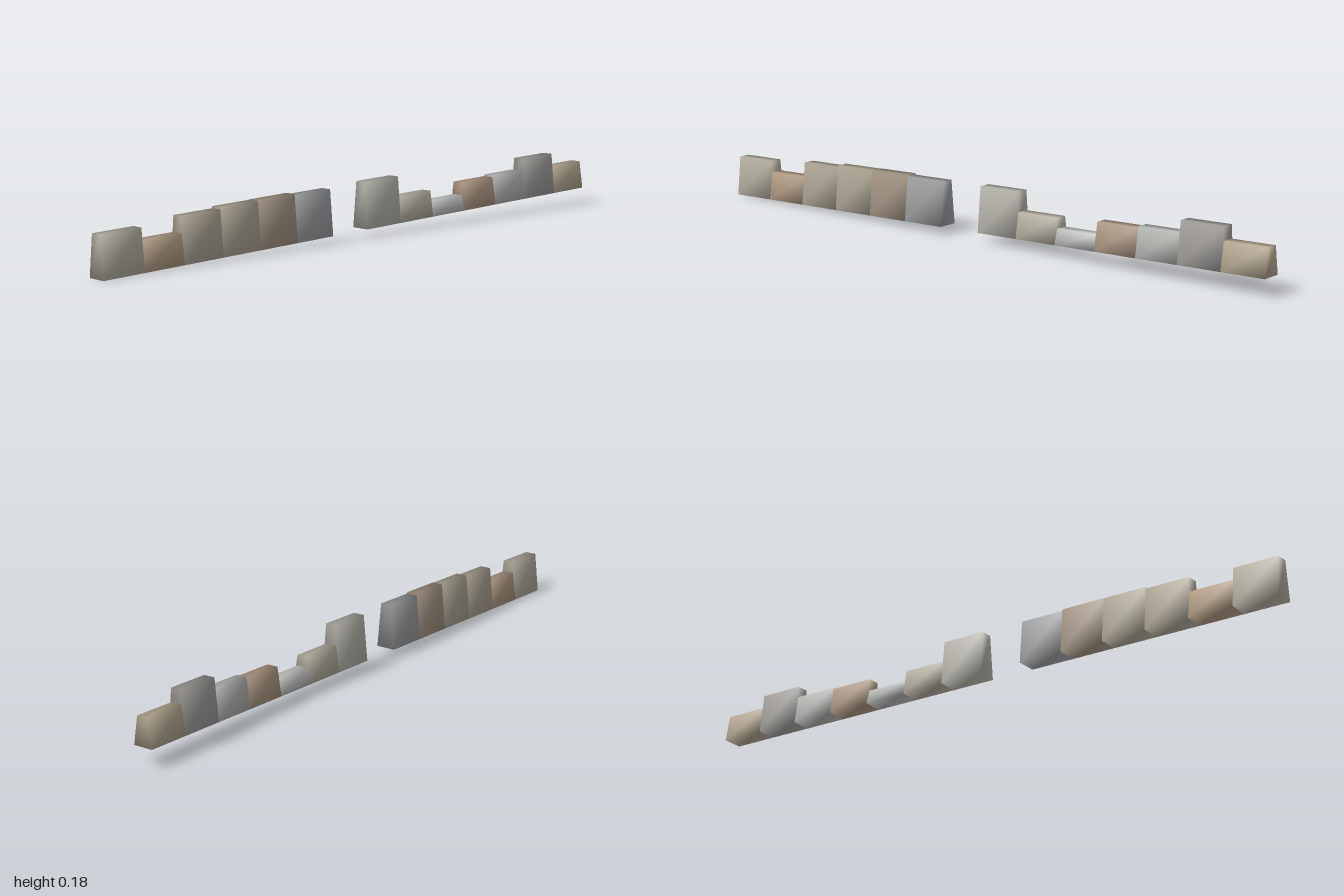
import * as THREE from 'three';
import { mergeVertices } from 'three/addons/utils/BufferGeometryUtils.js';

const SLOT = 1 / 7; // block spacing along the row

// slot, height of the top, colour (slot 6 is the gap in the row)
const BLOCKS = [
  [0, 0.126, 0xb2ad9f], [1, 0.094, 0xb09a82], [2, 0.145, 0xada494],
  [3, 0.155, 0xada594], [4, 0.16, 0xa39483], [5, 0.16, 0x9c9ea0],
  [7, 0.171, 0xb5b3aa], [8, 0.113, 0xb4aea0], [9, 0.085, 0xbabcba],
  [10, 0.128, 0xad9783], [11, 0.137, 0xb3b5b1], [12, 0.177, 0xa09d9a],
  [13, 0.14, 0xb3a690],
];

// The row climbs gently towards +x and drifts back
const baseY = (x) => 0.028 + 0.028 * x;
const centreZ = (x) => -0.038 * x;

// Tapered block with shared corners, so its shading is softly rounded
function stoneGeometry(x, height) {
  let geo = new THREE.BoxGeometry(SLOT, 1, 1);
  geo.deleteAttribute('uv');
  geo.deleteAttribute('normal');
  geo = mergeVertices(geo);
  const p = geo.attributes.position;
  for (let i = 0; i < p.count; i++) {
    const top = p.getY(i) > 0;
    const px = x + p.getX(i);
    p.setXYZ(i, px,
      baseY(px) + (top ? height : 0),
      centreZ(px) + p.getZ(i) * (top ? 0.036 : 0.063));
  }
  geo.computeVertexNormals();
  return geo;
}

export function createModel() {
  const group = new THREE.Group();
  group.name = 'stoneRow';
  for (const [slot, top, color] of BLOCKS) {
    const x = -1 + (slot + 0.5) * SLOT;
    const stone = new THREE.Mesh(
      stoneGeometry(x, top - baseY(x)),
      new THREE.MeshStandardMaterial({ color }));
    stone.name = `stoneBlock${slot + 1}`;
    group.add(stone);
  }
  return group;
}
